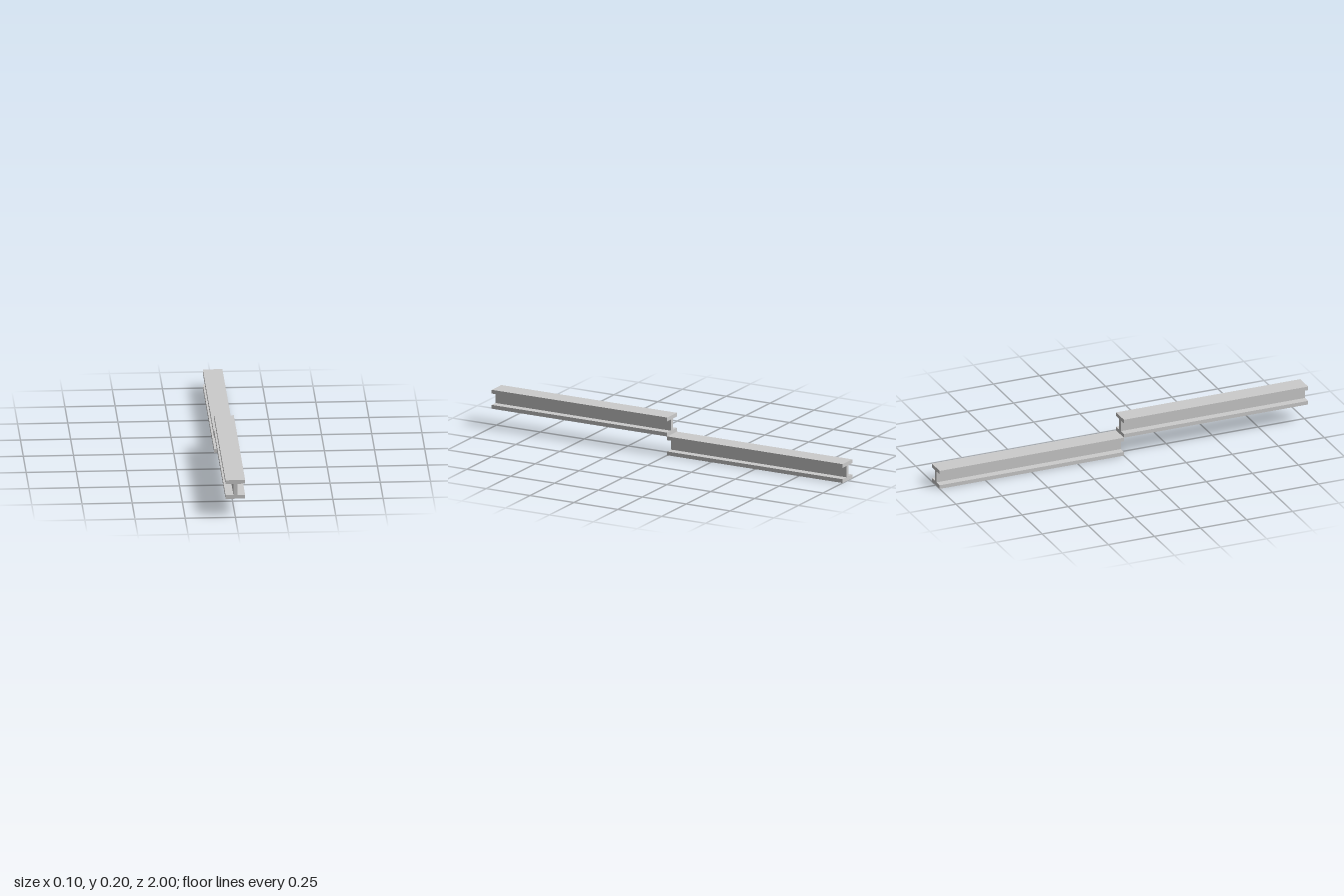
import * as THREE from 'three';

const T = 0.0195;      // flange and web thickness
const SIZE = 0.0977;   // beam width and height
const LENGTH = 1;

// I-shaped cross-section standing on y = 0
function beamProfile() {
  const w = SIZE / 2, t = T / 2;
  const half = [[w, 0], [w, T], [t, T], [t, SIZE - T], [w, SIZE - T], [w, SIZE]];
  const mirrored = half.map(([x, y]) => [-x, y]).reverse();
  return new THREE.Shape([...half, ...mirrored].map(([x, y]) => new THREE.Vector2(x, y)));
}

export function createModel() {
  const model = new THREE.Group();
  model.name = 'steppedBeams';
  const material = new THREE.MeshStandardMaterial({ color: 0xcccccc, flatShading: true });
  const geometry = new THREE.ExtrudeGeometry(beamProfile(), { depth: LENGTH, bevelEnabled: false });

  // Lower beam at the back, upper beam at the front, meeting at z = 0
  const beams = [
    ['lowerBackBeam', 0, -LENGTH],
    ['upperFrontBeam', SIZE, 0],
  ];
  for (const [name, y, z] of beams) {
    const beam = new THREE.Mesh(geometry, material);
    beam.name = name;
    beam.position.set(0, y, z);
    model.add(beam);
  }
  return model;
}
